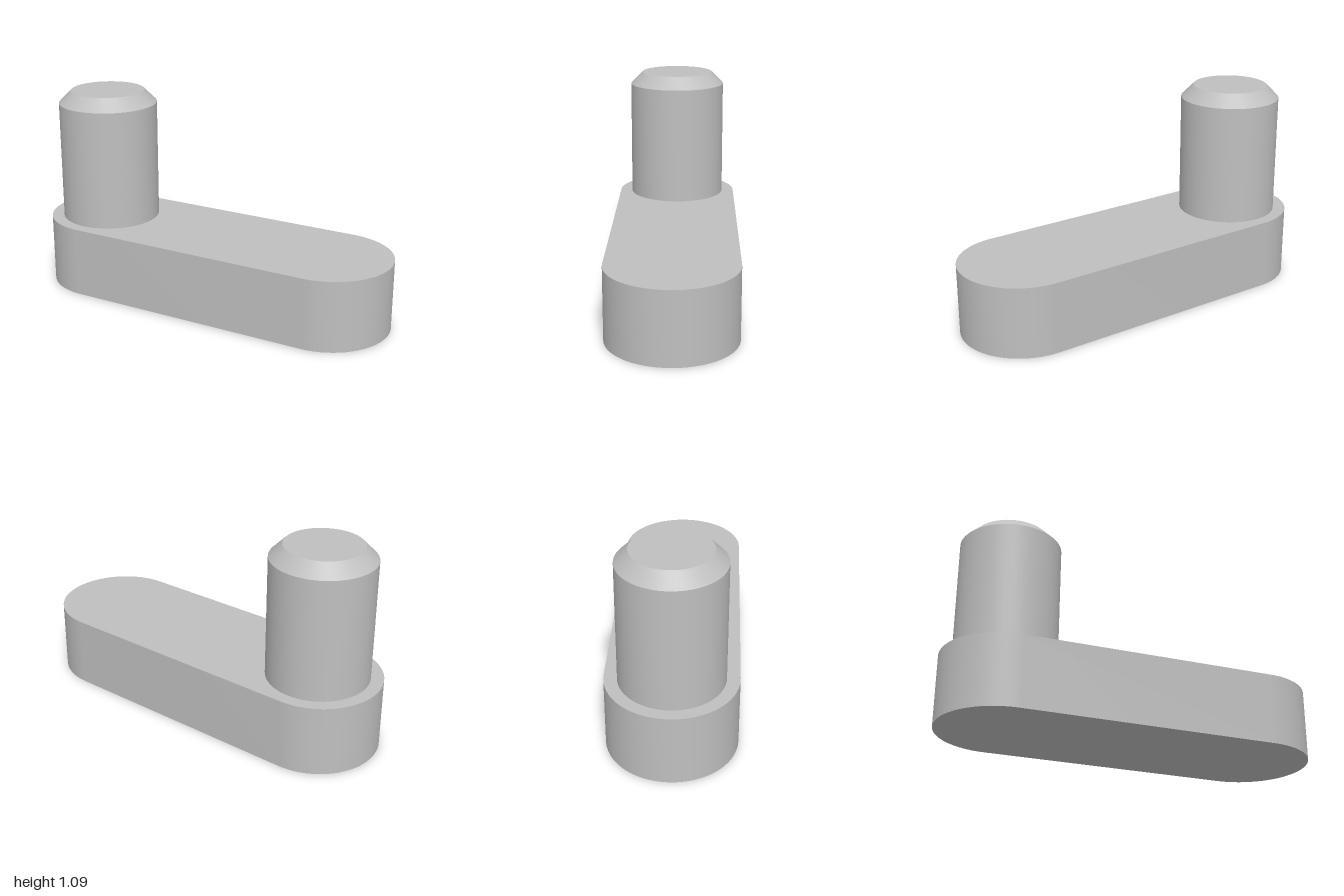
import * as THREE from 'three';
import { toCreasedNormals } from 'three/addons/utils/BufferGeometryUtils.js';

const armRadius = 1 / 3;
const armHeight = 0.378;
const pivotX = 2 / 3;

export function createModel() {
  const model = new THREE.Group();
  model.name = 'crankArm';
  const grey = new THREE.MeshStandardMaterial({ color: 0xbfbfbf });
  grey.name = 'plain grey';

  // Flat arm with fully rounded ends
  const outline = new THREE.Shape();
  outline.absarc(pivotX, 0, armRadius, -Math.PI / 2, Math.PI / 2);
  outline.absarc(-pivotX, 0, armRadius, Math.PI / 2, Math.PI * 1.5);
  outline.closePath();
  const armGeometry = new THREE.ExtrudeGeometry(outline, {
    depth: armHeight, bevelEnabled: false, curveSegments: 32,
  });
  armGeometry.rotateX(-Math.PI / 2);
  const arm = new THREE.Mesh(toCreasedNormals(armGeometry, 0.5), grey);
  arm.name = 'arm';
  model.add(arm);

  // Upright pin with a chamfered top
  const profile = [
    [0.267, armHeight], [0.267, 1.022], [0.2, 1.089], [0, 1.089],
  ].map(([r, y]) => new THREE.Vector2(r, y));
  const pinGeometry = new THREE.LatheGeometry(profile, 64);
  const pin = new THREE.Mesh(toCreasedNormals(pinGeometry, 0.5), grey);
  pin.name = 'pin';
  pin.position.x = -pivotX;
  model.add(pin);

  return model;
}
